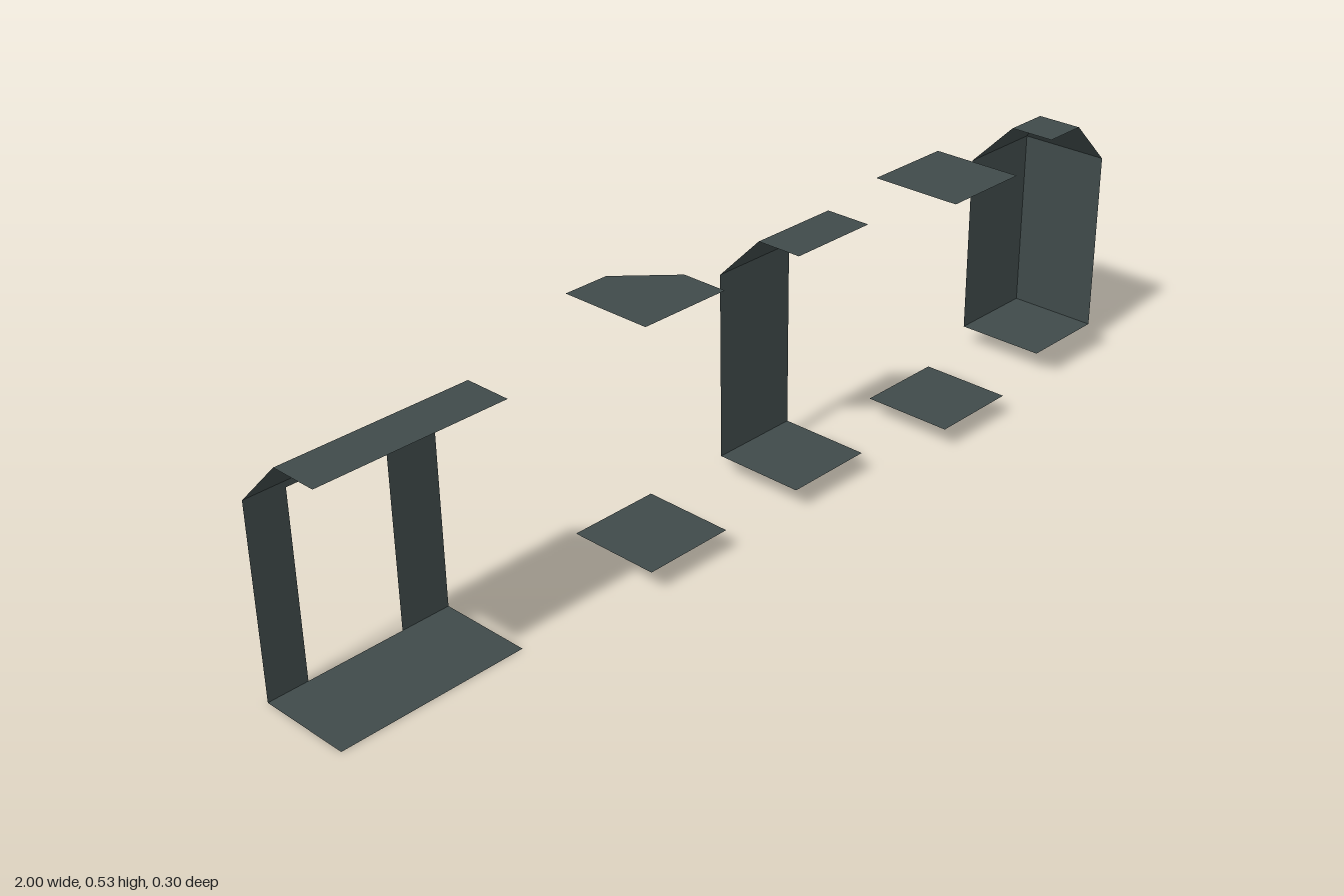
import * as THREE from 'three';

const U = 0.1925;      // tile size
const H = U * 2;       // wall height
const C = U / 2;       // chamfer size
const TOP = H + C;     // ceiling height

const slate = new THREE.MeshStandardMaterial({ color: 0x3f4a4a, side: THREE.DoubleSide });
slate.name = 'slate panel';

// Flat convex panel from its corners
function panel(name, corners) {
  const geo = new THREE.BufferGeometry();
  geo.setAttribute('position', new THREE.Float32BufferAttribute(corners.flat(), 3));
  const index = [];
  for (let i = 1; i < corners.length - 1; i++) index.push(0, i, i + 1);
  geo.setIndex(index);
  geo.computeVertexNormals();
  const mesh = new THREE.Mesh(geo, slate);
  mesh.name = name;
  return mesh;
}

// Level panel at height y; up = true faces upwards
function level(name, y, x0, x1, z0, z1, up) {
  const c = [[x0, y, z1], [x1, y, z1], [x1, y, z0], [x0, y, z0]];
  return panel(name, up ? c : c.reverse());
}

// Each module starts at its own left back floor corner
function place(name, x, y, z, parts) {
  const group = new THREE.Group();
  group.name = name;
  group.position.set(x, y, z);
  group.add(...parts);
  return group;
}

const floor = (w) => level('floor', 0, 0, w, 0, U, true);
const ceiling = (w, z0) => level('ceiling', TOP, 0, w, z0, U, false);
const backWall = (w) => panel('backWall', [[0, 0, 0], [w, 0, 0], [w, H, 0], [0, H, 0]]);
// Slope between back wall and ceiling, mitred at the right by m
const backSlope = (w, m = 0) =>
  panel('backSlope', [[0, H, 0], [w, H, 0], [w - m, TOP, C], [0, TOP, C]]);

// Back wall with a door opening cut up from the floor
function doorWall(w) {
  const s = new THREE.Shape();
  const outline = [[0, 0], [0.082, 0], [0.082, 0.373], [0.282, 0.373], [0.282, 0], [w, 0], [w, H], [0, H]];
  s.setFromPoints(outline.map(([x, y]) => new THREE.Vector2(x, y)));
  const mesh = new THREE.Mesh(new THREE.ShapeGeometry(s), slate);
  mesh.name = 'doorWall';
  return mesh;
}

export function createModel() {
  const model = new THREE.Group();
  model.name = 'corridorKit';
  const baseY = 0.0445, baseZ = -0.1055;

  // Double-width doorway
  model.add(place('doorModule', -1, 0, -0.149, [
    floor(2 * U), ceiling(2 * U, C), doorWall(2 * U), backSlope(2 * U),
  ]));

  // Inner corner: ceiling with one corner folded down
  model.add(place('innerCornerModule', -0.3465, baseY, baseZ, [
    floor(U),
    panel('ceiling', [[0, TOP, 0], [C, TOP, 0], [U, TOP, C], [U, TOP, U], [0, TOP, U]]),
    panel('cornerSlope', [[C, TOP, 0], [U, H, 0], [U, TOP, C]]),
  ]));

  // Straight wall
  model.add(place('wallModule', 0.0385, baseY, baseZ, [
    floor(U), ceiling(U, C), backWall(U), backSlope(U),
  ]));

  // Open floor and ceiling
  model.add(place('openModule', 0.414, baseY, -0.0445, [floor(U), ceiling(U, 0)]));

  // Outer corner: two walls with mitred slopes
  model.add(place('outerCornerModule', 1 - U, baseY, baseZ, [
    floor(U), ceiling(U - C, C), backWall(U), backSlope(U, C),
    panel('sideWall', [[U, 0, 0], [U, 0, U], [U, H, U], [U, H, 0]]),
    panel('sideSlope', [[U, H, 0], [U, H, U], [U - C, TOP, U], [U - C, TOP, C]]),
  ]));

  return model;
}
